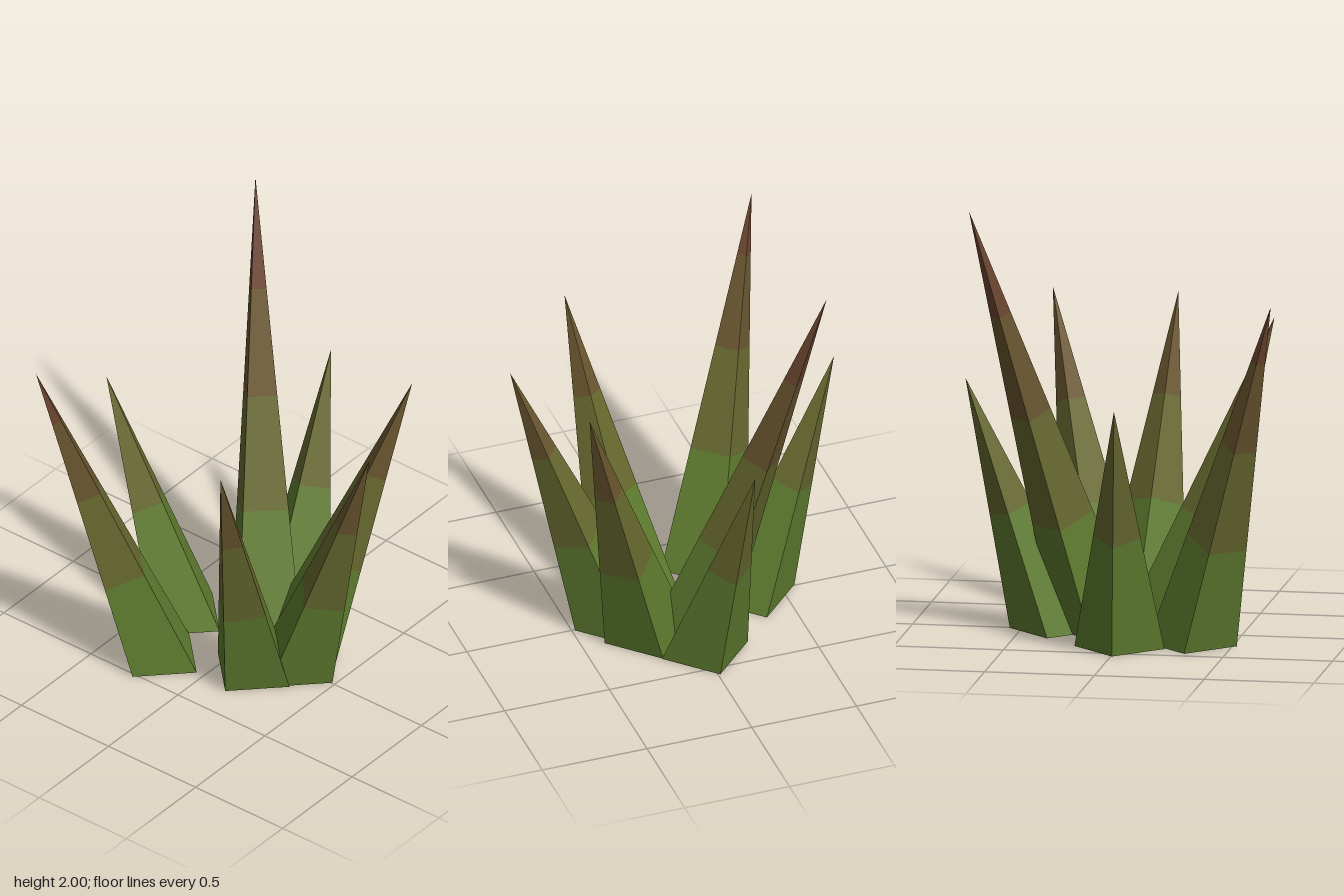
import * as THREE from 'three';

const RADIUS = 0.205;

const paint = (name, color) => {
  const m = new THREE.MeshStandardMaterial({ color, side: THREE.DoubleSide });
  m.name = name;
  return m;
};

// One slice of a leaning, hollow four-sided spike, between heights y0 and y1
function spikeSlice([bx, bz], [tx, height, tz], y0, y1) {
  const radiusAt = (y) => RADIUS * (1 - y / height);
  const geo = new THREE.CylinderGeometry(radiusAt(y1), radiusAt(y0), y1 - y0, 4, 1, true)
    .translate(0, (y0 + y1) / 2, 0)
    .toNonIndexed();
  const leanX = tx - bx;
  const leanZ = tz - bz;
  const pos = geo.attributes.position;
  for (let i = 0; i < pos.count; i++) {
    const x = pos.getX(i);
    const z = pos.getZ(i);
    const t = pos.getY(i) / height;
    // Colour borders run square to the leaning axis; foot and tip stay put
    const isBorder = t > 0.001 && t < 0.999;
    const t2 = isBorder ? t - (x * leanX + z * leanZ) / height ** 2 : t;
    const shrink = isBorder ? (1 - t2) / (1 - t) : 1;
    pos.setXYZ(i, x * shrink + bx + leanX * t2, t2 * height, z * shrink + bz + leanZ * t2);
  }
  geo.computeVertexNormals();
  return geo;
}

export function createModel() {
  const bands = [
    ['base', paint('leaf green', 0x5f7c2f)],
    ['lowerBlade', paint('olive', 0x67692f)],
    ['upperBlade', paint('brown', 0x6a562f)],
    ['tip', paint('red brown', 0x6c4631)],
  ];

  // Foot centre [x, z], tip [x, y, z], heights where the colour changes
  const spikes = [
    ['backRightSpike', [-0.315, -0.245], [-0.74, 1.64, -0.625], [0.5, 0.96, 1.37]],
    ['backSpike', [-0.005, -0.36], [-0.05, 1.165, -0.77], [0.55]],
    ['tallSpike', [0.15, -0.01], [0.66, 2.0, -0.48], [0.54, 1.04, 1.51]],
    ['leftSpike', [0.35, -0.01], [0.74, 1.16, -0.11], [0.56]],
    ['frontLeftSpike', [0.145, 0.19], [0.46, 1.45, 0.58], [0.5, 0.96]],
    ['frontSpike', [0.005, 0.28], [-0.08, 1.41, 0.765], [0.5, 0.96]],
    ['frontRightSpike', [-0.14, 0.148], [-0.595, 1.4, 0.32], [0.49, 0.95]],
  ];

  const model = new THREE.Group();
  model.name = 'spikyPlant';
  for (const [name, foot, tip, cuts] of spikes) {
    const spike = new THREE.Group();
    spike.name = name;
    const levels = [0, ...cuts, tip[1]];
    for (let i = 0; i < levels.length - 1; i++) {
      const [part, material] = bands[i];
      const mesh = new THREE.Mesh(spikeSlice(foot, tip, levels[i], levels[i + 1]), material);
      mesh.name = part;
      spike.add(mesh);
    }
    model.add(spike);
  }
  return model;
}
